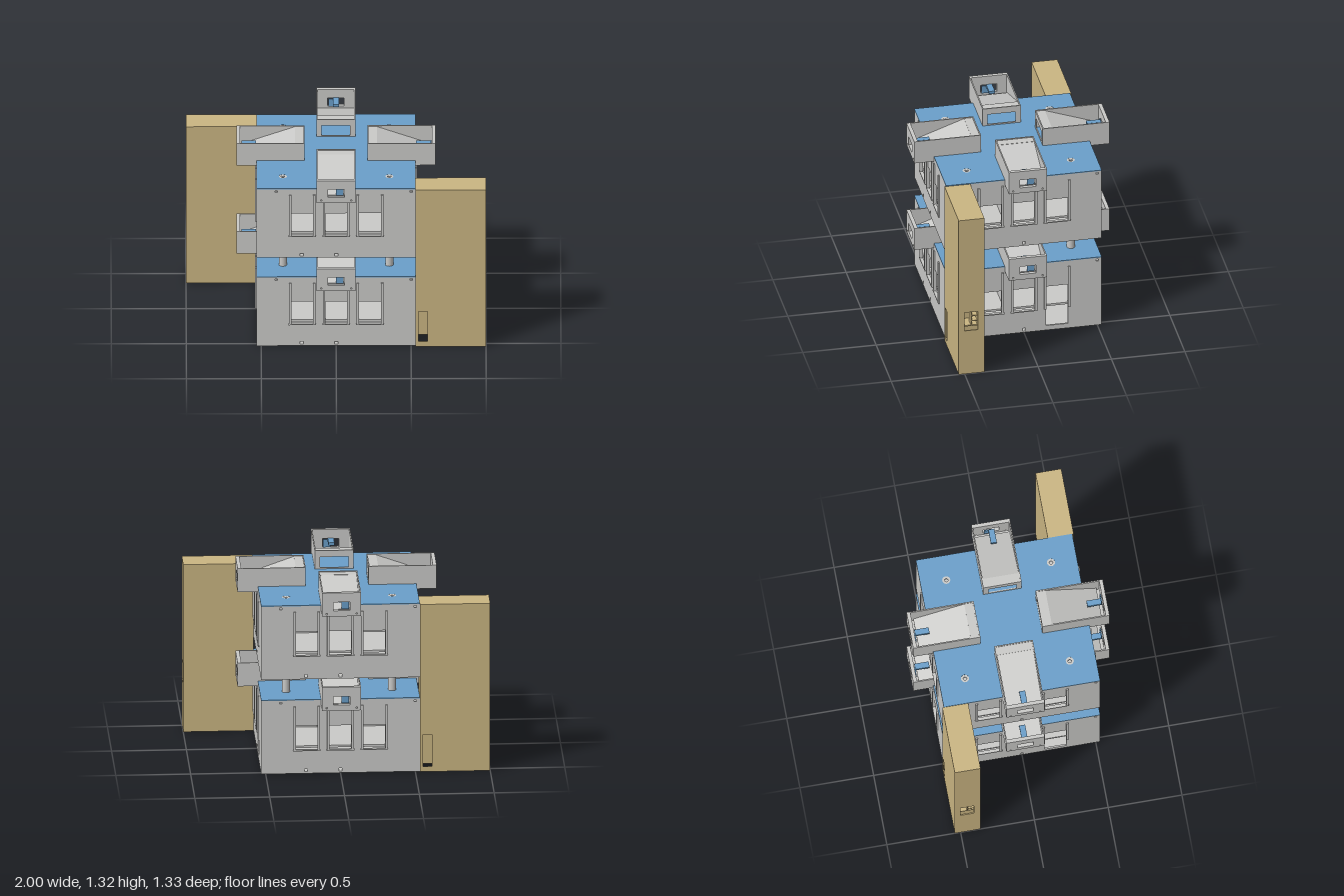
import * as THREE from 'three';

const grey = new THREE.MeshStandardMaterial({ color: 0xcacac8, side: THREE.DoubleSide });
grey.name = 'light grey';
const blue = new THREE.MeshStandardMaterial({ color: 0x6a9fca });
blue.name = 'roof blue';
const tan = new THREE.MeshStandardMaterial({ color: 0xcab582, side: THREE.DoubleSide });
tan.name = 'tan';

const HALF = 0.53, STOREY = 0.665, HEIGHT = 0.515, POST = 0.355;

function add(parent, name, geometry, material) {
  const mesh = new THREE.Mesh(geometry, material);
  mesh.name = name;
  parent.add(mesh);
  return mesh;
}

// Box given by its min and max along each axis
function box(parent, name, material, x0, x1, y0, y1, z0, z1) {
  const mesh = add(parent, name, new THREE.BoxGeometry(x1 - x0, y1 - y0, z1 - z0), material);
  mesh.position.set((x0 + x1) / 2, (y0 + y1) / 2, (z0 + z1) / 2);
  return mesh;
}

function rect(path, x0, x1, y0, y1) {
  path.moveTo(x0, y0);
  path.lineTo(x1, y0);
  path.lineTo(x1, y1);
  path.lineTo(x0, y1);
  path.closePath();
  return path;
}

// Upright panel in the xy plane from z0 to z1; holes are [x0, x1, y0, y1]
function panel(parent, name, material, x0, x1, y0, y1, z0, z1, holes = []) {
  const shape = rect(new THREE.Shape(), x0, x1, y0, y1);
  holes.forEach(h => shape.holes.push(rect(new THREE.Path(), ...h)));
  const geometry = new THREE.ExtrudeGeometry(shape, { depth: z1 - z0, bevelEnabled: false });
  return add(parent, name, geometry.translate(0, 0, z0), material);
}

// Horizontal square plate with four round sockets
function plate(parent, name, material, y0, y1, radius) {
  const shape = rect(new THREE.Shape(), -HALF, HALF, -HALF, HALF);
  for (const x of [-POST, POST]) for (const z of [-POST, POST]) {
    const hole = new THREE.Path();
    hole.absarc(x, z, radius, 0, Math.PI * 2, true);
    shape.holes.push(hole);
  }
  const geometry = new THREE.ExtrudeGeometry(shape, { depth: y1 - y0, bevelEnabled: false, curveSegments: 12 });
  return add(parent, name, geometry.rotateX(-Math.PI / 2).translate(0, y0, 0), material);
}

const square = (x, y, r = 0.011) => [x - r, x + r, y - r, y + r];

// Wall with three windows, guide rails and small ports
function wall(level, side) {
  const g = new THREE.Group();
  g.name = 'wall';
  const end = side % 2 ? HALF - 0.012 : HALF;
  const tallDoor = level === 0 && side % 2 === 1;
  const holes = [
    [-0.3, -0.152, 0.168, 0.335],
    [-0.072, 0.072, 0.168, 0.335],
    [0.152, 0.3, tallDoor ? 0.035 : 0.168, 0.335],
    square(0, 0.021), square(0.5, 0.5, 0.008),
  ];
  if (side % 2 === 0) holes.push(square(-0.23, 0.021), square(-0.4, 0.5, 0.008));
  panel(g, 'wallPanel', grey, -end, end, 0, HEIGHT, HALF - 0.012, HALF, holes);
  for (const x of [-0.226, 0, 0.226]) {
    for (const s of [-1, 1]) {
      const c = x + s * 0.081;
      box(g, 'guideRail', grey, c - 0.008, c + 0.008, 0.165, 0.475, HALF - 0.002, HALF + 0.01);
    }
    if (!(tallDoor && x > 0)) {
      box(g, 'windowSill', grey, x - 0.092, x + 0.092, 0.16, 0.168, HALF - 0.002, HALF + 0.01);
    }
  }
  return g;
}

// Open-topped tray with a ramp falling outwards and a blue lever
function hopper() {
  const g = new THREE.Group();
  g.name = 'hopper';
  for (const s of [-1, 1]) {
    const c = s * 0.126;
    box(g, 'hopperSide', grey, c - 0.004, c + 0.004, 0.485, 0.65, 0.21, 0.665);
  }
  box(g, 'hopperFloor', grey, -0.122, 0.122, 0.485, 0.493, 0.21, 0.64);
  panel(g, 'hopperFront', grey, -0.122, 0.122, 0.485, 0.65, 0.64, 0.665,
    [[-0.055, 0.055, 0.525, 0.585], square(-0.1, 0.503, 0.005), square(0.1, 0.503, 0.005)]);
  panel(g, 'hopperBack', grey, -0.122, 0.122, 0.485, 0.65, 0.21, 0.218, [[-0.095, 0.095, 0.53, 0.605]]);
  box(g, 'hopperShelf', grey, -0.122, 0.122, 0.637, 0.645, 0.218, 0.275);
  const ramp = new THREE.Shape();
  ramp.moveTo(0.27, 0.645);
  ramp.lineTo(0.62, 0.52);
  ramp.lineTo(0.62, 0.512);
  ramp.lineTo(0.27, 0.637);
  ramp.closePath();
  const geometry = new THREE.ExtrudeGeometry(ramp, { depth: 0.244, bevelEnabled: false });
  add(g, 'ramp', geometry.rotateY(-Math.PI / 2).translate(0.122, 0, 0), grey);
  box(g, 'lever', blue, -0.02, 0.02, 0.572, 0.592, 0.535, 0.632);
  box(g, 'leverPad', blue, 0, 0.05, 0.528, 0.582, 0.63, 0.638);
  return g;
}

function storey(level) {
  const g = new THREE.Group();
  g.name = level ? 'upperStorey' : 'lowerStorey';
  g.position.y = level * STOREY;
  plate(g, 'floor', grey, 0.001, 0.012, 0.01);
  plate(g, 'ceiling', grey, 0.505, HEIGHT, 0.012);
  plate(g, 'roof', blue, HEIGHT, 0.521, 0.027);
  box(g, 'innerFloor', grey, -0.515, 0.515, 0.175, 0.19, -0.515, 0.515);
  for (let side = 0; side < 4; side++) {
    const turned = new THREE.Group();
    turned.name = 'side';
    turned.rotation.y = side * Math.PI / 2;
    turned.add(wall(level, side), hopper());
    // Partitions that close off the corner rooms
    for (const [a, b] of [[-0.515, -0.13], [0.13, 0.515]]) {
      const c = Math.sign(a) * 0.225;
      panel(turned, 'partition', grey, a, b, 0.185, 0.508, 0.125, 0.133,
        side === 0 ? [[c - 0.04, c + 0.04, 0.192, 0.26]] : []);
    }
    g.add(turned);
  }
  // Socket rings in the roof
  for (const x of [-POST, POST]) for (const z of [-POST, POST]) {
    const ring = new THREE.RingGeometry(0.012, 0.027, 24).rotateX(-Math.PI / 2);
    add(g, 'socketRing', ring, grey).position.set(x, 0.52, z);
  }
  return g;
}

// Hollow side tower, open at the bottom
function tower() {
  const g = new THREE.Group();
  g.name = 'sideTower';
  const top = 1.18, z0 = 0.365, z1 = 0.54, t = 0.008;
  panel(g, 'towerFront', tan, HALF, 1, 0, top, z1 - t, z1, [[0.55, 0.61, 0.035, 0.262]]);
  panel(g, 'towerBack', tan, HALF, 1, 0, top, z0, z0 + t);
  const end = panel(g, 'towerEnd', tan, -z1 + t, -z0 - t, 0, top, 1 - t, 1, [[-0.5, -0.41, 0.33, 0.47]]);
  end.rotation.y = Math.PI / 2;
  box(g, 'towerInnerEnd', tan, HALF + 0.001, HALF + t, 0, top - t, z0 + t, z1 - t);
  box(g, 'towerTop', tan, HALF, 1 - t, top - t, top, z0 + t, z1 - t);
  box(g, 'towerPartition', tan, 0.88, 0.888, 0, top - t, z0 + t, z1 - t);
  // Small shelves behind the end opening
  box(g, 'shelf', tan, 0.89, 0.985, 0.355, 0.363, 0.41, 0.5);
  box(g, 'shelfPost', tan, 0.93, 0.985, 0.363, 0.47, 0.448, 0.455);
  for (const y of [0.39, 0.43]) box(g, 'step', tan, 0.93, 0.985, y, y + 0.006, 0.41, 0.448);
  return g;
}

export function createModel() {
  const model = new THREE.Group();
  model.name = 'twoStoreyHouse';
  model.add(storey(0), storey(1));
  // Posts between the storeys
  for (const x of [-POST, POST]) for (const z of [-POST, POST]) {
    const post = add(model, 'post', new THREE.CylinderGeometry(0.027, 0.027, 0.15, 32), grey);
    post.position.set(x, 0.593, z);
  }
  const front = tower(), back = tower();
  back.rotation.y = Math.PI;
  model.add(front, back);
  return model;
}
